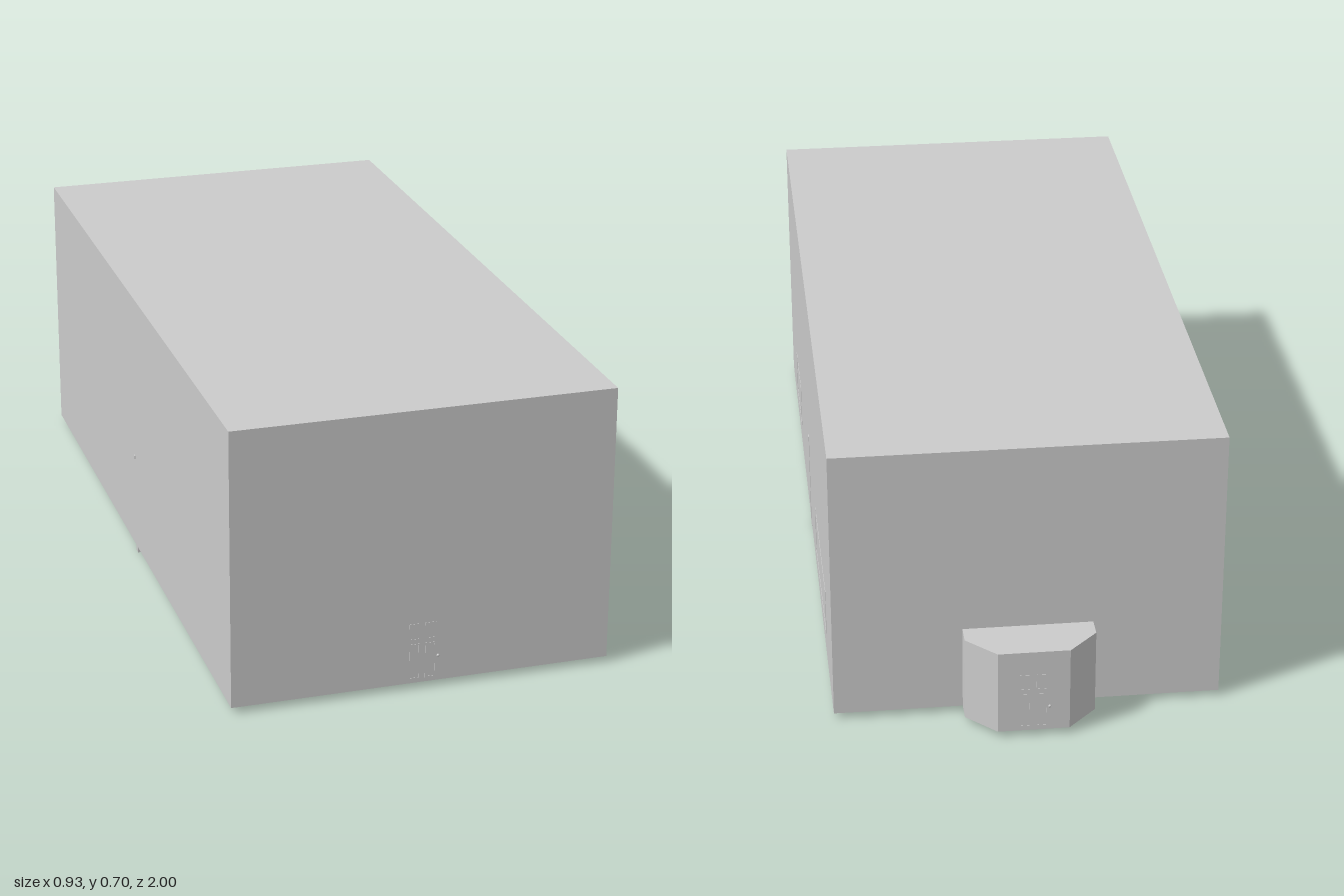
import * as THREE from 'three';

const material = new THREE.MeshStandardMaterial({ color: 0xcccccc, flatShading: true });

function box(name, w, h, d, x, y, z) {
  const mesh = new THREE.Mesh(new THREE.BoxGeometry(w, h, d), material);
  mesh.name = name;
  mesh.position.set(x, y, z);
  return mesh;
}

// Thin rectangular moulding, standing in the xy plane and facing +z
function frame(name, w, h, x, y, bar = 0.003, depth = 0.002) {
  const group = new THREE.Group();
  group.name = name;
  for (const s of [-1, 1]) {
    group.add(box('rail', w, bar, depth, x, y + s * (h - bar) / 2, 0));
    group.add(box('stile', bar, h - 2 * bar, depth, x + s * (w - bar) / 2, y, 0));
  }
  return group;
}

// Four-panel door with a round knob, facing +z
function door(name) {
  const group = new THREE.Group();
  group.name = name;
  for (const x of [-0.02, 0.019]) {
    group.add(frame('upperPanel', 0.026, 0.042, x, 0.146));
    group.add(frame('lowerPanel', 0.026, 0.09, x, 0.07));
  }
  const knob = new THREE.Mesh(new THREE.SphereGeometry(0.0035, 10, 8), material);
  knob.name = 'knob';
  knob.position.set(0.037, 0.08, 0.003);
  group.add(knob);
  return group;
}

export function createModel() {
  const model = new THREE.Group();
  model.name = 'building';
  const floor = 0.015, top = 0.7, halfW = 0.462, front = 0.992, back = -0.873;

  // Main block
  model.add(box('mainBlock', 2 * halfW, top - floor, front - back,
    0, (top + floor) / 2, (front + back) / 2));

  // Back porch with chamfered corners
  const plan = new THREE.Shape([
    [-0.155, 0.87], [0.155, 0.87], [0.155, 0.923],
    [0.085, 0.993], [-0.085, 0.993], [-0.155, 0.923],
  ].map(([x, y]) => new THREE.Vector2(x, y)));
  const porch = new THREE.Mesh(
    new THREE.ExtrudeGeometry(plan, { depth: 0.213, bevelEnabled: false }), material);
  porch.name = 'porch';
  porch.rotation.x = -Math.PI / 2;
  porch.position.y = floor;
  model.add(porch);

  // Doors at both ends
  const frontDoor = door('frontDoor');
  frontDoor.position.z = front;
  const backDoor = door('backDoor');
  backDoor.rotation.y = Math.PI;
  backDoor.position.z = -0.993;
  model.add(frontDoor, backDoor);

  // Floor bearers: two across the middle and a short one at each side
  for (const z of [0.436, -0.304]) {
    model.add(box('middleBearer', 0.36, floor, 0.02, 0, floor / 2, z));
  }
  for (const s of [-1, 1]) {
    model.add(box('sideBearer', 0.138, floor, 0.02, s * (halfW - 0.069), floor / 2, 0.065));
    // Small wall fitting above each side bearer
    model.add(box('wallFitting', 0.004, 0.008, 0.012, s * halfW, 0.264, 0.063));
  }

  // Window mouldings and the upright strip on the left wall
  for (const [z, w, y, h] of [[0.6, 0.22, 0.137, 0.117], [-0.41, 0.42, 0.137, 0.125]]) {
    const sideWindow = frame('sideWindow', w, h, 0, y);
    sideWindow.rotation.y = Math.PI / 2;
    sideWindow.position.set(halfW, 0, z);
    model.add(sideWindow);
  }
  model.add(box('wallStrip', 0.002, 0.25, 0.004, halfW, 0.14, 0.063));

  return model;
}
